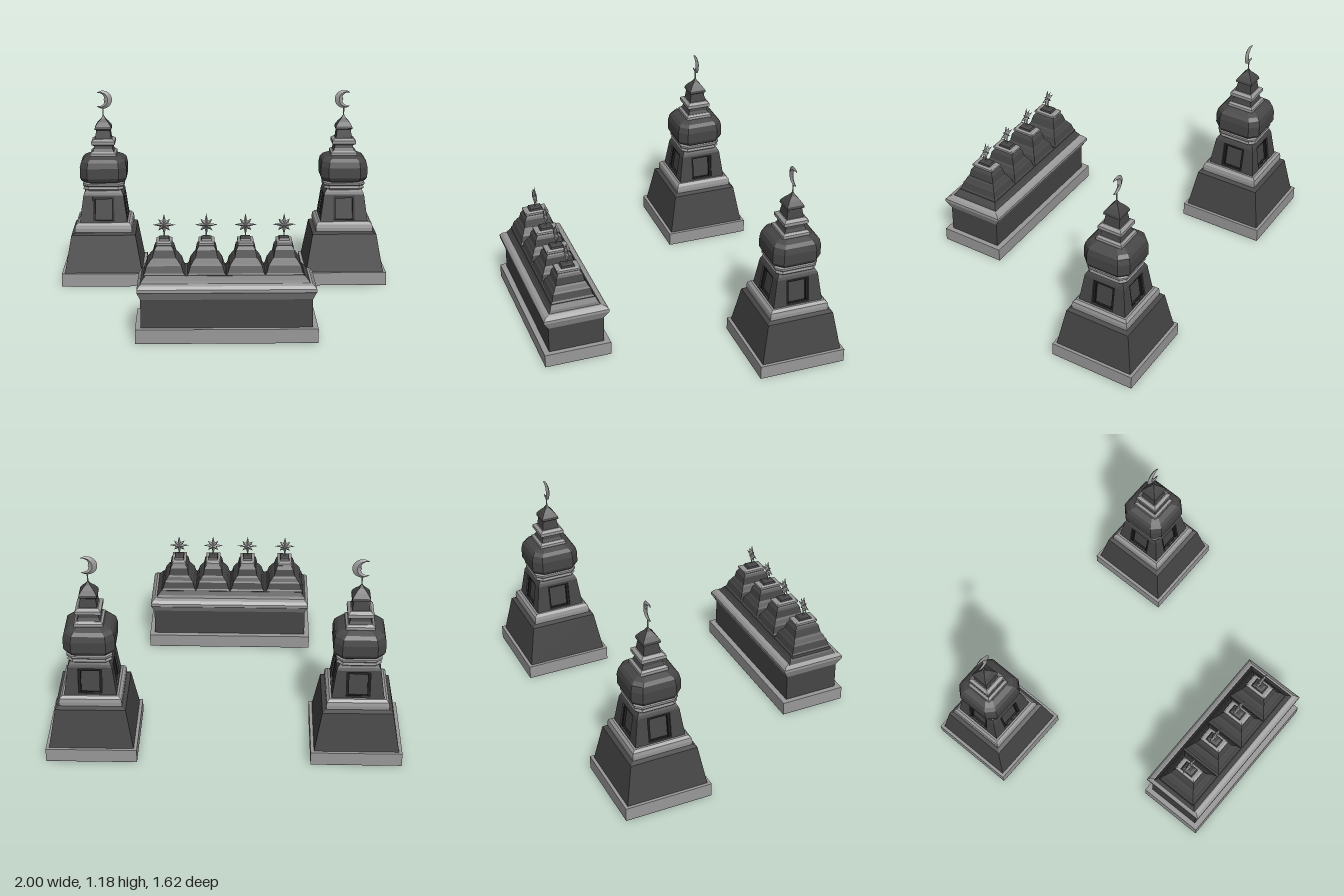
import * as THREE from 'three';

const paint = (color) => new THREE.MeshStandardMaterial({ color, flatShading: true });
const light = paint(0x999999);
const dark = paint(0x464646);
const black = paint(0x1c1c1c);

function add(parent, name, geo, mat) {
  const mesh = new THREE.Mesh(geo, mat);
  mesh.name = name;
  parent.add(mesh);
  return mesh;
}

// Turns a list of corner triples into a flat-shaded geometry
function facets(tris) {
  const geo = new THREE.BufferGeometry();
  geo.setAttribute('position', new THREE.Float32BufferAttribute(tris.flat(2), 3));
  geo.computeVertexNormals();
  return geo;
}

// One rectangular ring, with cut corners when c is given
function ring(y, hx, hz, c) {
  if (!c) return [[hx, y, -hz], [-hx, y, -hz], [-hx, y, hz], [hx, y, hz]];
  const a = hx - c, b = hz - c;
  return [[hx, y, -b], [a, y, -hz], [-a, y, -hz], [-hx, y, -b],
    [-hx, y, b], [-a, y, hz], [a, y, hz], [hx, y, b]];
}

// Closed stack of rings; each section is [y, halfX, halfZ = halfX], cut = corner share
function loft(sections, cut = 0) {
  const rings = sections.map(([y, hx, hz = hx]) => ring(y, hx, hz, cut * Math.min(hx, hz)));
  const n = rings[0].length, tris = [];
  for (let r = 0; r < rings.length - 1; r++) {
    for (let i = 0; i < n; i++) {
      const j = (i + 1) % n, lo = rings[r], hi = rings[r + 1];
      tris.push([lo[i], lo[j], hi[j]], [lo[i], hi[j], hi[i]]);
    }
  }
  const bottom = rings[0], top = rings[rings.length - 1];
  for (let i = 1; i < n - 1; i++) {
    tris.push([top[0], top[i], top[i + 1]], [bottom[0], bottom[i + 1], bottom[i]]);
  }
  return facets(tris);
}

// Light plinth with a dark underside
function plinth(parent, hx, hz) {
  add(parent, 'base', loft([[0.002, hx, hz], [0.08, hx, hz]]), light);
  add(parent, 'underside', loft([[0, hx, hz], [0.002, hx, hz]]), dark);
}

function rod(parent, y0, y1) {
  const geo = new THREE.CylinderGeometry(0.004, 0.004, y1 - y0, 6);
  add(parent, 'finialRod', geo, light).position.y = (y0 + y1) / 2;
}

// Plate with a hole that leans with the tower wall; corners are [halfX, y] bottom and top
const wallHalf = (y) => 0.148 - (y - 0.37) * 0.14;
function leaningPlate(outer, hole, depth, inset) {
  const quad = ([[b, y0], [t, y1]]) => [[-b, y0], [b, y0], [t, y1], [-t, y1]].map((p) => new THREE.Vector2(...p));
  const shape = new THREE.Shape(quad(outer));
  shape.holes.push(new THREE.Path(quad(hole).reverse()));
  const geo = new THREE.ExtrudeGeometry(shape, { depth, bevelEnabled: false });
  const p = geo.attributes.position;
  for (let i = 0; i < p.count; i++) p.setZ(i, p.getZ(i) - depth - inset + wallHalf(p.getY(i)));
  geo.computeVertexNormals();
  return geo;
}

// Crescent with horns towards +x: diamond section that thins to the tips
function crescent() {
  const steps = 24, rows = [], tris = [];
  for (let i = 0; i <= steps; i++) {
    const a = THREE.MathUtils.degToRad(48 + (264 * i) / steps);
    const s = Math.sin((Math.PI * i) / steps);
    const at = (r, z) => [r * Math.cos(a), r * Math.sin(a), z];
    const R = 0.056, w = 0.001 + 0.052 * s, d = 0.001 + 0.01 * Math.sqrt(Math.max(s, 0));
    rows.push([at(R, 0), at(R - w / 2, d), at(R - w, 0), at(R - w / 2, -d)]);
  }
  for (let i = 0; i < steps; i++) {
    for (let k = 0; k < 4; k++) {
      const m = (k + 1) % 4, a = rows[i], b = rows[i + 1];
      tris.push([a[k], b[k], b[m]], [a[k], b[m], a[m]]);
    }
  }
  return facets(tris);
}

// Eight-pointed star, thick in the middle and sharp at the rim
function star() {
  const rim = [], tris = [];
  for (let i = 0; i < 16; i++) {
    const r = i % 2 ? 0.024 : i % 4 ? 0.046 : 0.063, a = (i * Math.PI) / 8;
    rim.push([r * Math.cos(a), r * Math.sin(a), 0]);
  }
  rim.forEach((p, i) => {
    const q = rim[(i + 1) % 16];
    tris.push([p, q, [0, 0, 0.014]], [q, p, [0, 0, -0.014]]);
  });
  return facets(tris);
}

function createTower(side) {
  const tower = new THREE.Group();
  tower.name = side > 0 ? 'leftTower' : 'rightTower';
  tower.position.set(side * 0.744, 0, -0.555);

  plinth(tower, 0.256, 0.256);
  add(tower, 'lowerBody', loft([[0.08, 0.238], [0.31, 0.197], [0.322, 0.17]]), dark);
  add(tower, 'lowerCornice',
    loft([[0.315, 0.165], [0.322, 0.175], [0.345, 0.176], [0.366, 0.172], [0.38, 0.158]]), light);

  // Window storey: leaning walls, black frames and recessed panels
  add(tower, 'windowPanels', loft([[0.37, wallHalf(0.37) - 0.022], [0.55, wallHalf(0.55) - 0.022]]), dark);
  const opening = [[0.066, 0.388], [0.066, 0.535]];
  const wall = leaningPlate([[wallHalf(0.37), 0.37], [wallHalf(0.545), 0.545]], opening, 0.03, 0);
  const frame = leaningPlate(opening, [[0.052, 0.39], [0.052, 0.52]], 0.02, 0.008);
  for (let i = 0; i < 4; i++) {
    add(tower, 'windowWall', wall, dark).rotation.y = (i * Math.PI) / 2;
    add(tower, 'windowFrame', frame, black).rotation.y = (i * Math.PI) / 2;
  }
  add(tower, 'shoulder', loft([[0.545, wallHalf(0.545)], [0.56, 0.117], [0.58, 0.105]]), dark);

  // Bulbous dome between two cornices
  add(tower, 'neckCornice',
    loft([[0.573, 0.115], [0.582, 0.124], [0.597, 0.12], [0.605, 0.127], [0.617, 0.127], [0.625, 0.115]], 0.25), light);
  add(tower, 'dome', loft([[0.62, 0.118], [0.632, 0.134], [0.652, 0.144], [0.715, 0.144],
    [0.75, 0.136], [0.768, 0.12], [0.782, 0.09]], 0.33), dark);
  add(tower, 'upperCornice', loft([[0.775, 0.072], [0.782, 0.081], [0.798, 0.08], [0.808, 0.068]]), light);
  add(tower, 'lantern', loft([[0.805, 0.066], [0.825, 0.058], [0.85, 0.054]]), dark);
  add(tower, 'topCornice', loft([[0.845, 0.06], [0.852, 0.072], [0.872, 0.072], [0.885, 0.055]]), light);
  add(tower, 'spire', loft([[0.883, 0.05], [0.938, 0.042], [0.945, 0.052], [0.96, 0.049],
    [0.985, 0.032], [1.005, 0.014], [1.028, 0.002]]), dark);

  rod(tower, 1.01, 1.075);
  const moon = add(tower, 'crescent', crescent(), light);
  moon.position.y = 1.123;
  if (side < 0) moon.rotation.y = Math.PI;
  return tower;
}

function createHall() {
  const hall = new THREE.Group();
  hall.name = 'hall';
  hall.position.set(-0.006, 0, 0.614);

  plinth(hall, 0.501, 0.197);
  add(hall, 'hallWalls', loft([[0.08, 0.471, 0.164], [0.245, 0.471, 0.164]]), dark);
  add(hall, 'hallCornice', loft([[0.24, 0.471, 0.164], [0.28, 0.487, 0.188], [0.285, 0.49, 0.192],
    [0.303, 0.49, 0.192], [0.32, 0.478, 0.178], [0.327, 0.468, 0.16]]), light);
  add(hall, 'roofSlab', loft([[0.32, 0.468, 0.158], [0.34, 0.456, 0.142], [0.365, 0.435, 0.13]]), dark)
    .position.x = -0.008;

  // Four stepped turrets, given as [x, width scale]
  [[-0.341, 1.08], [-0.109, 1], [0.106, 1], [0.318, 1]].forEach(([x, w]) => {
    const turret = new THREE.Group();
    turret.name = 'turret';
    turret.position.x = x;
    hall.add(turret);
    add(turret, 'turretRoof', loft([[0.33, 0.108 * w, 0.132], [0.368, 0.105 * w, 0.127], [0.376, 0.099 * w, 0.12],
      [0.415, 0.088 * w, 0.11], [0.423, 0.082 * w, 0.103], [0.443, 0.07 * w, 0.094], [0.452, 0.061 * w, 0.086],
      [0.495, 0.053, 0.077], [0.508, 0.046, 0.068], [0.52, 0.036, 0.06]]), dark);
    add(turret, 'turretCornice',
      loft([[0.512, 0.036, 0.058], [0.52, 0.044, 0.07], [0.532, 0.044, 0.07], [0.538, 0.034, 0.058]]), light);
    add(turret, 'turretCap', loft([[0.53, 0.03, 0.045], [0.55, 0.027, 0.035], [0.555, 0.012, 0.02]]), dark);
    rod(turret, 0.55, 0.6);
    add(turret, 'star', star(), light).position.y = 0.62;
  });
  return hall;
}

export function createModel() {
  const model = new THREE.Group();
  model.name = 'towersAndHall';
  model.add(createTower(1), createTower(-1), createHall());
  return model;
}
